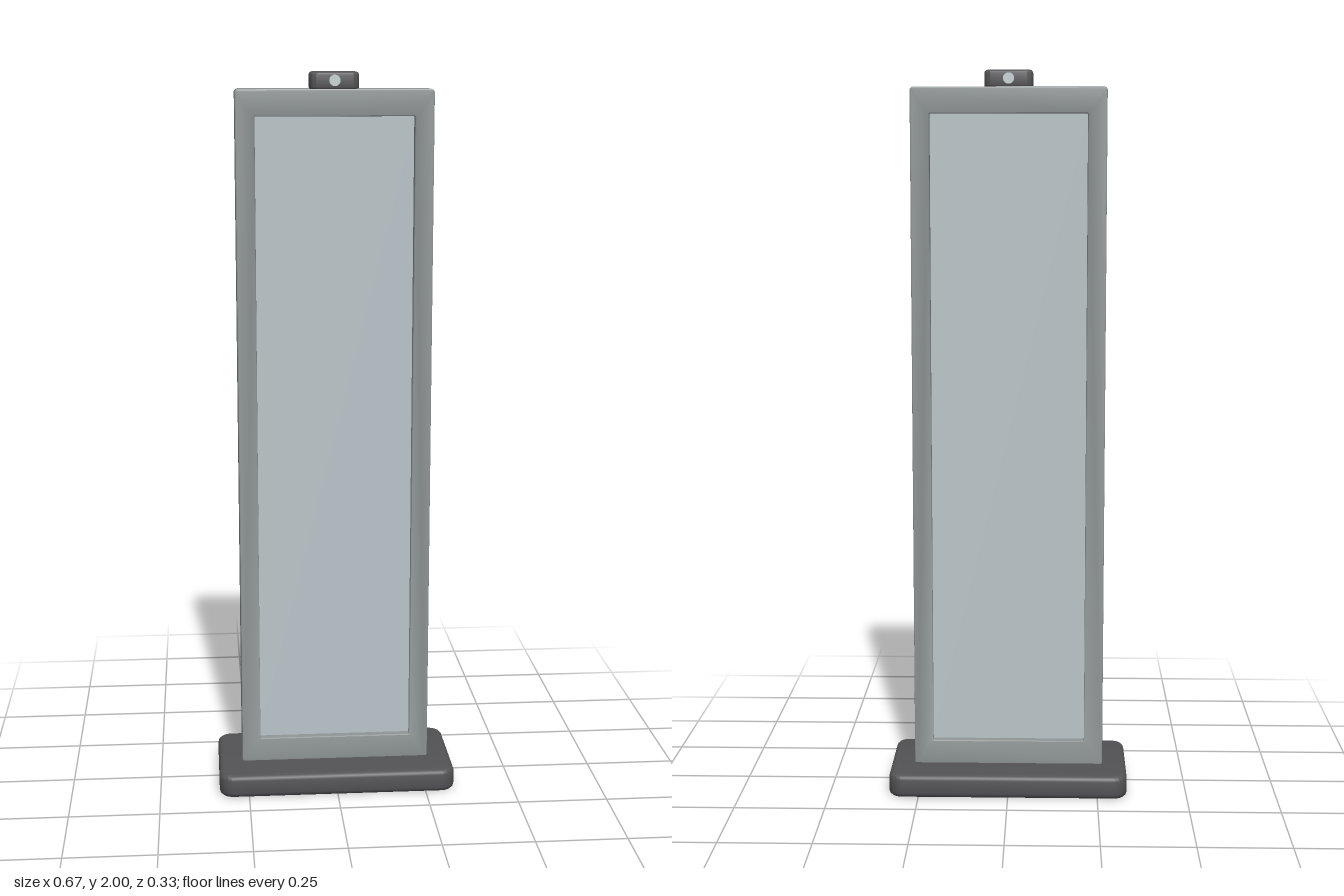
import * as THREE from 'three';
import { toCreasedNormals } from 'three/addons/utils/BufferGeometryUtils.js';

const material = (name, color) => {
  const m = new THREE.MeshStandardMaterial({ color });
  m.name = name;
  return m;
};

// Trace a rounded rectangle onto a Shape or Path
function roundedRect(path, w, h, r) {
  const x = w / 2, y = h / 2;
  path.moveTo(-x + r, -y);
  path.lineTo(x - r, -y);
  path.absarc(x - r, -y + r, r, -Math.PI / 2, 0);
  path.lineTo(x, y - r);
  path.absarc(x - r, y - r, r, 0, Math.PI / 2);
  path.lineTo(-x + r, y);
  path.absarc(-x + r, y - r, r, Math.PI / 2, Math.PI);
  path.lineTo(-x, -y + r);
  path.absarc(-x + r, -y + r, r, Math.PI, Math.PI * 1.5);
  return path;
}

// Centred plate in the xy plane with eased edges along z
function plate(w, h, depth, r, bevel, hole) {
  const shape = roundedRect(new THREE.Shape(), w - 2 * bevel, h - 2 * bevel, r - bevel);
  if (hole) shape.holes.push(hole);
  const geo = new THREE.ExtrudeGeometry(shape, {
    depth: depth - 2 * bevel, bevelEnabled: true, bevelSize: bevel,
    bevelThickness: bevel, bevelSegments: 3, curveSegments: 6,
  });
  geo.translate(0, 0, bevel - depth / 2);
  return toCreasedNormals(geo, 0.7);
}

export function createModel() {
  const dark = material('dark plastic', 0x535356);
  const grey = material('grey metal', 0x8f9595);
  const glass = material('pale screen', 0xb9c5c9);
  const pale = material('pale lens', 0xc6d2d6);

  const model = new THREE.Group();
  model.name = 'displayStand';
  const add = (name, geo, mat, x, y, z) => {
    const mesh = new THREE.Mesh(geo, mat);
    mesh.name = name;
    mesh.position.set(x, y, z);
    model.add(mesh);
    return mesh;
  };

  // Foot plate
  add('base', plate(0.666, 0.33, 0.065, 0.04, 0.014).rotateX(-Math.PI / 2), dark, 0, 0.0325, 0);

  // Upright frame with an open window
  const opening = roundedRect(new THREE.Path(), 0.434, 1.758, 0.006);
  add('frame', plate(0.532, 1.895, 0.104, 0.01, 0.003, opening), grey, 0, 1.0075, 0);

  // Screen recessed from both faces
  add('screen', new THREE.BoxGeometry(0.436, 1.76, 0.06), glass, 0, 1.0075, 0);

  // Camera housing on top
  add('cameraHousing', plate(0.132, 0.08, 0.05, 0.02, 0.009).rotateX(-Math.PI / 2), dark, 0, 1.975, 0);

  // A lens on each face of the housing
  for (const side of [1, -1]) {
    const lens = new THREE.CylinderGeometry(0.015, 0.015, 0.009, 24).rotateX(Math.PI / 2);
    add(side > 0 ? 'frontLens' : 'backLens', lens, pale, 0, 1.977, side * 0.0405);
  }

  return model;
}
